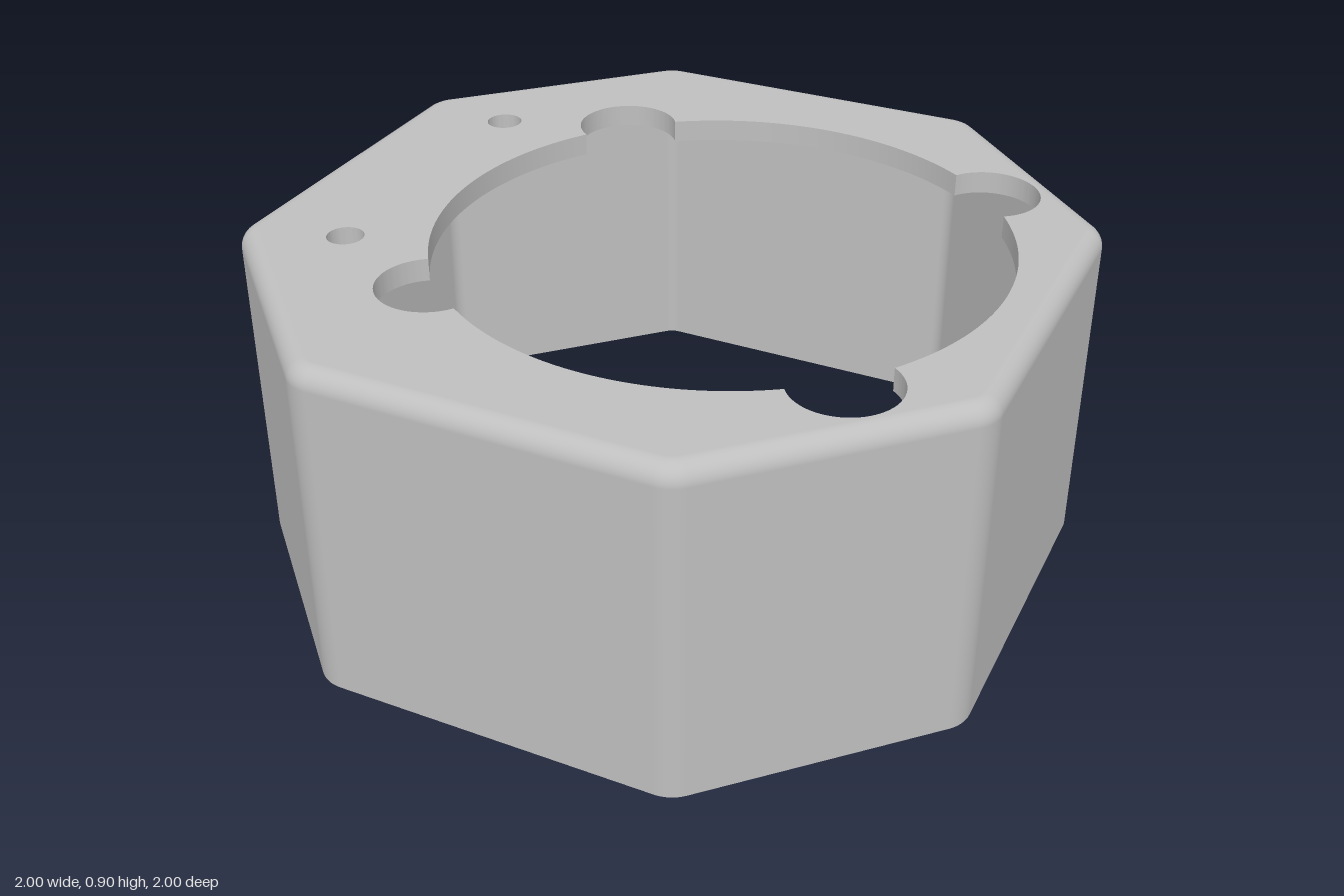
import * as THREE from 'three';
import { toCreasedNormals } from 'three/addons/utils/BufferGeometryUtils.js';

const HEIGHT = 0.905, WALL = 0.05, PLATE = 0.06;
const CORNER_R = 0.1;

// Octagon with rounded corners, inset by d: points in x,z with outward normals
function outline(d) {
  const pts = [], far = 1 - CORNER_R, near = 0.47 - CORNER_R * Math.tan(Math.PI / 8);
  const r = CORNER_R - d, steps = 8;
  for (let k = 0; k < 8; k++) {
    const quarter = Math.floor(k / 2) * Math.PI / 2;
    const [u, v] = k % 2 ? [near, far] : [far, near];
    const cx = u * Math.cos(quarter) - v * Math.sin(quarter);
    const cz = u * Math.sin(quarter) + v * Math.cos(quarter);
    for (let s = 0; s <= steps; s++) {
      const a = (k + s / steps) * Math.PI / 4;
      const nx = Math.cos(a), nz = Math.sin(a);
      pts.push({ x: cx + r * nx, z: cz + r * nz, nx, nz });
    }
  }
  return pts;
}

// Skin through rings [inset, y, tilt of the normal]; inward flips it
function loft(rings, inward = false) {
  const pos = [], nor = [], idx = [], sign = inward ? -1 : 1;
  const n = outline(0).length;
  rings.forEach(([d, y, tilt]) => outline(d).forEach((p) => {
    pos.push(p.x, y, p.z);
    nor.push(sign * p.nx * Math.cos(tilt), Math.sin(tilt), sign * p.nz * Math.cos(tilt));
  }));
  for (let j = 0; j < rings.length - 1; j++) {
    for (let i = 0; i < n; i++) {
      const a = j * n + i, b = j * n + (i + 1) % n, c = a + n, e = b + n;
      if (inward) idx.push(a, b, c, b, e, c);
      else idx.push(a, c, b, b, c, e);
    }
  }
  const g = new THREE.BufferGeometry();
  g.setAttribute('position', new THREE.Float32BufferAttribute(pos, 3));
  g.setAttribute('normal', new THREE.Float32BufferAttribute(nor, 3));
  g.setIndex(idx);
  return g;
}

const toVectors = (d) => outline(d).map((p) => new THREE.Vector2(p.x, p.z));

function circle(PathType, x, z, r) {
  const p = new PathType();
  p.absarc(x, z, r, 0, Math.PI * 2, false);
  return p;
}

// Round opening with four round lobes on its diagonals
function lobedOpening(cx, R, D, r) {
  const path = new THREE.Path();
  const b = Math.acos((R * R + D * D - r * r) / (2 * R * D));
  const g = Math.PI - Math.acos((D * D + r * r - R * R) / (2 * D * r));
  for (let k = 0; k < 4; k++) {
    const a = Math.PI / 4 + k * Math.PI / 2;
    path.absarc(cx, 0, R, a - Math.PI / 2 + b, a - b, false);
    path.absarc(cx + D * Math.cos(a), D * Math.sin(a), r, a - g, a + g, false);
  }
  path.closePath();
  return path;
}

// Extrude a shape downward from height top
function slab(shape, top, depth) {
  const g = new THREE.ExtrudeGeometry(shape, { depth, bevelEnabled: false, curveSegments: 32 });
  g.rotateX(Math.PI / 2).translate(0, top, 0);
  return toCreasedNormals(g, 0.6);
}

export function createModel() {
  const group = new THREE.Group();
  const grey = new THREE.MeshStandardMaterial({ color: 0xbfbfbf });
  grey.name = 'grey';
  const add = (name, geometry) => {
    const mesh = new THREE.Mesh(geometry, grey);
    mesh.name = name;
    group.add(mesh);
  };

  // Outer wall with a rounded top edge
  const rings = [[0, 0, 0]];
  for (let s = 0; s <= 8; s++) {
    const t = s / 8 * Math.PI / 2;
    rings.push([WALL * (1 - Math.cos(t)), HEIGHT - WALL + WALL * Math.sin(t), t]);
  }
  add('outerWall', loft(rings));

  // Inner wall and bottom rim
  add('innerWall', loft([[WALL, 0, 0], [WALL, HEIGHT - PLATE, 0]], true));
  const rim = new THREE.Shape(toVectors(0));
  rim.holes.push(new THREE.Path(toVectors(WALL)));
  add('bottomRim', new THREE.ShapeGeometry(rim).rotateX(Math.PI / 2));

  // Top plate with the lobed opening and two screw holes
  const screws = [[-0.72, -0.4], [-0.72, 0.4]], holeR = 0.048;
  const plate = new THREE.Shape(toVectors(WALL));
  plate.holes.push(lobedOpening(0.14, 0.735, 0.75, 0.135));
  screws.forEach(([x, z]) => plate.holes.push(circle(THREE.Path, x, z, holeR)));
  add('topPlate', slab(plate, HEIGHT, PLATE));

  // Short bosses under the screw holes
  screws.forEach(([x, z]) => {
    const boss = circle(THREE.Shape, x, z, 0.09);
    boss.holes.push(circle(THREE.Path, x, z, holeR));
    add('screwBoss', slab(boss, HEIGHT - PLATE, 0.04));
  });

  return group;
}
